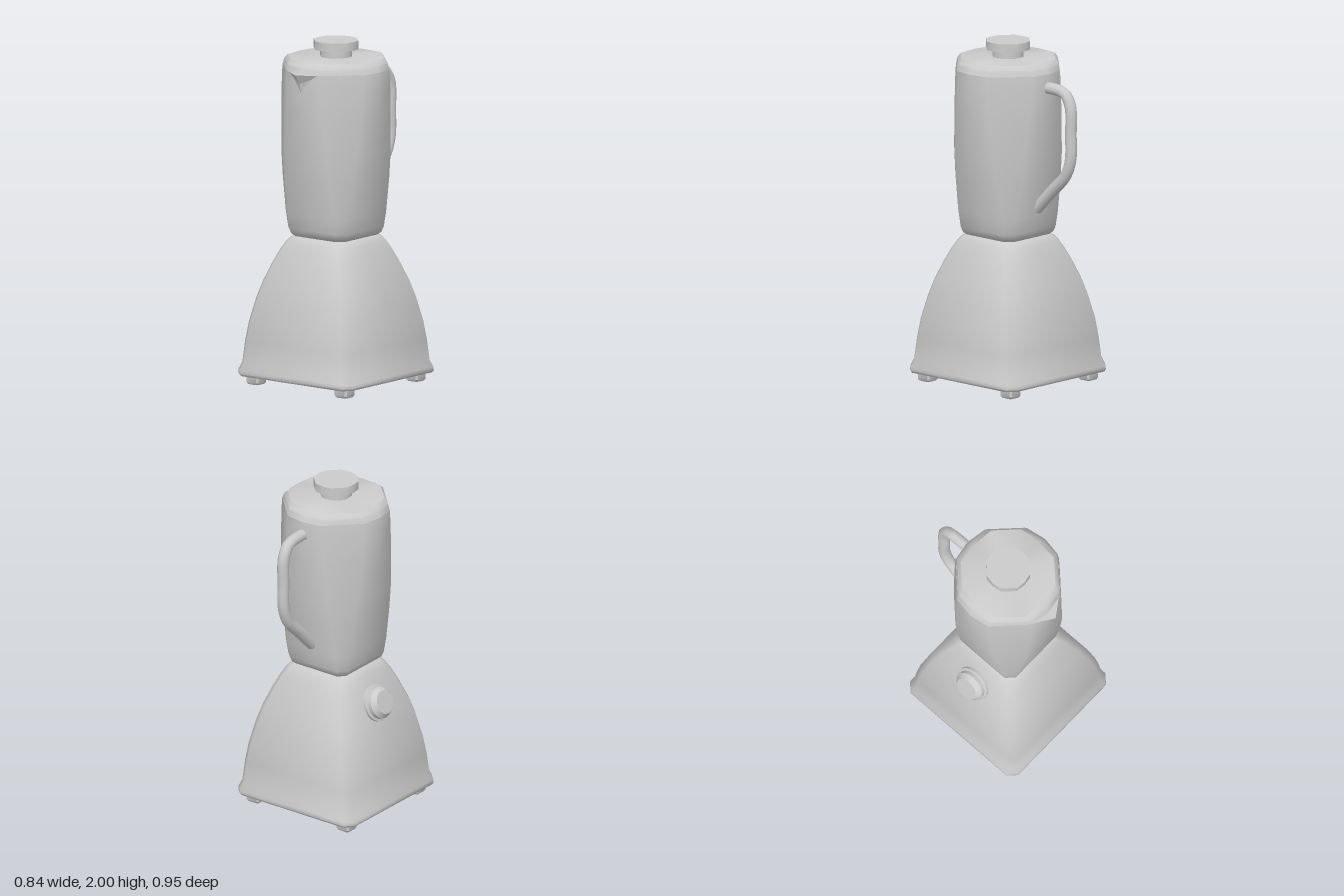
import * as THREE from 'three';
import { toCreasedNormals } from 'three/addons/utils/BufferGeometryUtils.js';

const material = new THREE.MeshStandardMaterial({ color: 0xcccccc, side: THREE.DoubleSide });
const CZ = 0.055; // depth of the body's axis

function add(parent, name, geometry) {
  const mesh = new THREE.Mesh(geometry, material);
  mesh.name = name;
  parent.add(mesh);
  return mesh;
}

// Twelve-point outline: a = reach on the axes, (b, c) = the points beside each corner
function ring([y, a, b, c]) {
  const points = [];
  let quarter = [[a, 0], [b, c], [c, b]];
  for (let q = 0; q < 4; q++) {
    quarter.forEach(([x, z]) => points.push([x, y, z]));
    quarter = quarter.map(([x, z]) => [-z, x]);
  }
  return points;
}

// Closed loft through a stack of outlines, from bottom to top
function loft(sections, crease = 1) {
  const rings = sections.map(ring);
  const n = 12, last = rings.length - 1, pos = [];
  const tri = (...corners) => corners.forEach((p) => pos.push(...p));
  for (let i = 0; i < n; i++) {
    const j = (i + 1) % n;
    for (let k = 0; k < last; k++) {
      const lo = rings[k], hi = rings[k + 1];
      tri(lo[i], hi[i], lo[j]);
      tri(lo[j], hi[i], hi[j]);
    }
    tri([0, sections[0][0], 0], rings[0][i], rings[0][j]);
    tri([0, sections[last][0], 0], rings[last][j], rings[last][i]);
  }
  const geometry = new THREE.BufferGeometry();
  geometry.setAttribute('position', new THREE.Float32BufferAttribute(pos, 3));
  return toCreasedNormals(geometry, crease);
}

// Square outline with cut corners
const square = (y, half, cut) => [y, half, half, half - cut];

export function createModel() {
  const model = new THREE.Group();
  model.name = 'blender';
  const body = new THREE.Group();
  body.name = 'body';
  body.position.z = CZ;
  model.add(body);

  // Motor base: flared, rounded pyramid with a lip at the bottom
  add(body, 'motorBase', loft([
    square(0.052, 0.412, 0.045), square(0.064, 0.42, 0.047), square(0.085, 0.418, 0.047),
    square(0.125, 0.402, 0.045), square(0.25, 0.39, 0.044), square(0.36, 0.374, 0.042),
    square(0.5, 0.343, 0.04), square(0.6, 0.314, 0.038), square(0.7, 0.277, 0.036),
    square(0.78, 0.243, 0.034), square(0.825, 0.22, 0.034), square(0.85, 0.202, 0.034),
    square(0.865, 0.18, 0.034),
  ]));

  // Feet
  for (const x of [-1, 1]) for (const z of [-1, 1]) {
    const foot = add(body, 'foot', loft([
      square(0, 0.037, 0.008), square(0.012, 0.045, 0.01), square(0.06, 0.045, 0.01),
    ], 0.6));
    foot.position.set(x * 0.325, 0, z * 0.325);
  }

  // Jar: square at the bottom, nearly round at the rim
  add(body, 'jar', loft([
    [0.862, 0.185, 0.185, 0.148], [0.877, 0.204, 0.203, 0.162], [0.91, 0.216, 0.215, 0.17],
    [1.0, 0.232, 0.23, 0.173], [1.2, 0.264, 0.258, 0.166], [1.36, 0.287, 0.278, 0.155],
    [1.6, 0.31, 0.294, 0.135], [1.77, 0.323, 0.302, 0.12], [1.845, 0.318, 0.298, 0.118],
  ]));

  // Lid
  add(body, 'lid', loft([
    [1.84, 0.318, 0.298, 0.118], [1.868, 0.304, 0.286, 0.122], [1.88, 0.296, 0.279, 0.125],
    [1.905, 0.263, 0.249, 0.13],
  ], 0.7));

  // Lid plug: narrow neck below a wide cap
  add(body, 'capNeck', loft([[1.9, 0.09, 0.084, 0.04], [1.955, 0.09, 0.084, 0.04]], 0.8));
  add(body, 'cap', loft([[1.95, 0.128, 0.12, 0.055], [2.0, 0.128, 0.12, 0.055]], 0.8));

  // Spout: triangular lip that runs down into the jar wall
  const spout = new THREE.BufferGeometry();
  const l = [-0.125, 1.845, 0.285], r = [0.125, 1.845, 0.285];
  const tip = [0, 1.845, 0.37], mid = [0, 1.79, 0.335], low = [0, 1.69, 0.31];
  spout.setAttribute('position', new THREE.Float32BufferAttribute([
    l, tip, r, l, mid, tip, l, low, mid, r, tip, mid, r, mid, low,
  ].flat(), 3));
  spout.computeVertexNormals();
  add(body, 'spout', spout);

  // Control knob: stepped disc lying on the sloping right side
  const knob = add(body, 'knob', toCreasedNormals(new THREE.LatheGeometry([
    [0, -0.04], [0.108, -0.04], [0.108, 0.008], [0.094, 0.012], [0.094, 0.036],
    [0.07, 0.062], [0, 0.062],
  ].map(([x, y]) => new THREE.Vector2(x, y)), 16), 0.6));
  knob.position.set(-0.295, 0.67, 0);
  knob.quaternion.setFromUnitVectors(
    new THREE.Vector3(0, 1, 0), new THREE.Vector3(-0.94, 0.34, 0).normalize());

  // Handle: bent bar behind the jar
  const path = new THREE.CatmullRomCurve3([
    [1.765, -0.24], [1.763, -0.34], [1.75, -0.395], [1.68, -0.437], [1.52, -0.44],
    [1.37, -0.438], [1.27, -0.4], [1.16, -0.29], [1.04, -0.17],
  ].map(([y, z]) => new THREE.Vector3(0, y, z)));
  add(model, 'handle', new THREE.TubeGeometry(path, 24, 0.034, 10));

  return model;
}
